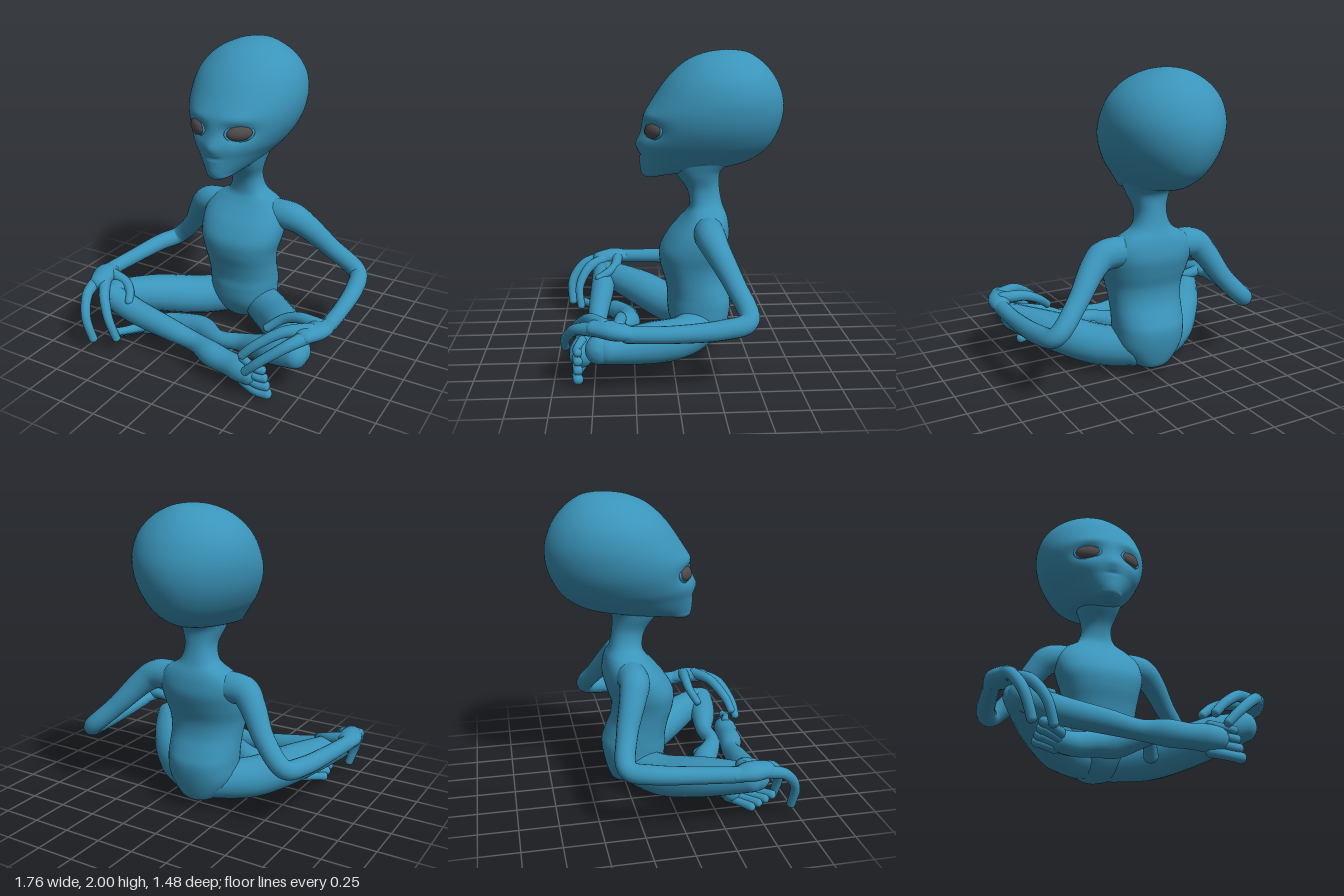
import * as THREE from 'three';

const skin = new THREE.MeshStandardMaterial({ color: 0x3a94ba });
skin.name = 'blue skin';
const dark = new THREE.MeshStandardMaterial({ color: 0x514b4d });
dark.name = 'dark eye';

// Smooth interpolation through rows of numbers, t from 0 to 1
function spline(rows, t) {
  const n = rows.length - 1, s = Math.min(t * n, n - 1e-6), i = Math.floor(s), f = s - i;
  const [a, b, c, d] = [Math.max(i - 1, 0), i, i + 1, Math.min(i + 2, n)].map((k) => rows[k]);
  return b.map((p1, k) => {
    const v0 = (c[k] - a[k]) / 2, v1 = (d[k] - p1) / 2, dp = c[k] - p1;
    return p1 + f * (v0 + f * (3 * dp - 2 * v0 - v1 + f * (v0 + v1 - 2 * dp)));
  });
}

// Closed skin over a stack of rings
function skinOver(rings) {
  const m = rings[0].length, n = rings.length, pos = [], idx = [];
  rings.forEach((r) => r.forEach((p) => pos.push(p.x, p.y, p.z)));
  [rings[0], rings[n - 1]].forEach((r) => {
    const c = r.reduce((s, p) => s.add(p), new THREE.Vector3()).divideScalar(m);
    pos.push(c.x, c.y, c.z);
  });
  for (let j = 0; j < m; j++) {
    const k = (j + 1) % m;
    for (let i = 0; i < n - 1; i++) {
      const a = i * m + j, b = i * m + k;
      idx.push(a, b, b + m, a, b + m, a + m);
    }
    idx.push(n * m, k, j, n * m + 1, (n - 1) * m + j, (n - 1) * m + k);
  }
  const g = new THREE.BufferGeometry();
  g.setAttribute('position', new THREE.Float32BufferAttribute(pos, 3));
  g.setIndex(idx);
  g.computeVertexNormals();
  return g;
}

function mesh(name, geometry, material = skin) {
  const o = new THREE.Mesh(geometry, material);
  o.name = name;
  return o;
}

// Round-ended limb through points [x, y, z, radius]; squash scales the section
function limb(name, pts, squash = [1, 1, 1], sides = 18) {
  const N = (pts.length - 1) * 7, rings = [], sq = new THREE.Vector3(...squash);
  const at = (t) => new THREE.Vector3(...spline(pts, t));
  let normal = new THREE.Vector3(0.13, 1, 0.21);
  const ring = (c, t, r) => {
    const b = t.clone().cross(normal);
    rings.push(Array.from({ length: sides }, (_, j) => {
      const a = (j / sides) * Math.PI * 2;
      return normal.clone().multiplyScalar(Math.cos(a) * r)
        .addScaledVector(b, Math.sin(a) * r).multiply(sq).add(c);
    }));
  };
  for (let i = 0; i <= N; i++) {
    const u = i / N, c = at(u), r = spline(pts, u)[3];
    const t = at(Math.min(u + 0.01, 1)).sub(at(Math.max(u - 0.01, 0))).normalize();
    normal = normal.clone().addScaledVector(t, -normal.dot(t)).normalize();
    const cap = (k, s) => {
      const q = (k / 5) * Math.PI / 2;
      ring(c.clone().addScaledVector(t, s * r * Math.sin(q) * 0.8), t, r * Math.cos(q));
    };
    if (i === 0) for (let k = 4.8; k > 0.5; k--) cap(k, -1);
    ring(c, t, r);
    if (i === N) for (let k = 0.8; k < 5; k++) cap(k, 1);
  }
  return mesh(name, skinOver(rings));
}

// Upright form from rows [y, half width, front z, back z]; power below 1 squares the section
function loft(rows, cx, power, steps, sides, deform = () => {}) {
  const rings = [], bend = (v) => Math.sign(v) * Math.abs(v) ** power;
  for (let i = 0; i <= steps; i++) {
    const [y, w, f, b] = spline(rows, i / steps);
    rings.push(Array.from({ length: sides }, (_, j) => {
      const a = (j / sides) * Math.PI * 2, c = Math.cos(a);
      const p = new THREE.Vector3(w * bend(Math.sin(a)), y, (f + b) / 2 + bend(c) * (f - b) / 2);
      deform(p, c);
      p.x += cx;
      return p;
    }));
  }
  return skinOver(rings);
}

function createHead() {
  const head = new THREE.Group();
  head.name = 'head';
  const bump = (dx, dy, sx, sy) => Math.exp(-((dx / sx) ** 2) - (dy / sy) ** 2);
  const rows = [
    [1.18, 0.04, 0.165, 0.09], [1.2, 0.085, 0.185, -0.02], [1.23, 0.13, 0.195, -0.28],
    [1.27, 0.18, 0.198, -0.48], [1.33, 0.235, 0.2, -0.595], [1.4, 0.292, 0.205, -0.665],
    [1.5, 0.346, 0.19, -0.715], [1.6, 0.372, 0.165, -0.738], [1.7, 0.374, 0.105, -0.732],
    [1.8, 0.347, 0.035, -0.695], [1.88, 0.29, -0.04, -0.64], [1.94, 0.213, -0.12, -0.575],
    [1.98, 0.125, -0.22, -0.51], [1.995, 0.06, -0.3, -0.45], [2.0, 0.012, -0.36, -0.39],
  ];
  // Eye sockets, brows, nose and mouth are pressed into the front
  head.add(mesh('skull', loft(rows, -0.04, 1, 96, 84, (p, c) => {
    if (c < 0.2) return;
    const ax = Math.abs(p.x);
    p.z -= 0.04 * bump(ax - 0.15, p.y - 1.497, 0.085, 0.052);
    p.z += 0.012 * bump(ax - 0.14, p.y - 1.585, 0.1, 0.035);
    p.z += 0.02 * bump(p.x, p.y - 1.4, 0.045, 0.045);
    p.z -= 0.008 * bump(p.x, p.y - 1.33, 0.05, 0.01);
  })));
  for (const s of [-1, 1]) {
    const eye = new THREE.Group();
    eye.name = s > 0 ? 'leftEye' : 'rightEye';
    const ball = mesh('eyeball', new THREE.SphereGeometry(1, 28, 18), dark);
    ball.scale.set(0.084, 0.05, 0.036);
    const lid = mesh('eyelid', new THREE.TorusGeometry(1, 0.12, 10, 36));
    lid.scale.set(0.088, 0.053, 0.09);
    eye.add(ball, lid);
    eye.position.set(-0.04 + s * 0.15, 1.498, 0.113);
    eye.rotation.set(-0.1, s * 0.57, s * 0.12, 'YXZ');
    head.add(eye);
  }
  return head;
}

export function createModel() {
  const model = new THREE.Group();
  model.name = 'seatedFigure';
  model.add(createHead());

  // Pelvis, chest and neck in one form
  model.add(mesh('torso', loft([
    [0.05, 0.04, -0.18, -0.3], [0.08, 0.13, -0.08, -0.35], [0.2, 0.22, 0.0, -0.39],
    [0.32, 0.234, 0.02, -0.405], [0.4, 0.237, 0.02, -0.38], [0.5, 0.242, 0.04, -0.34],
    [0.6, 0.258, 0.068, -0.335], [0.7, 0.285, 0.07, -0.365], [0.8, 0.295, 0.015, -0.39],
    [0.88, 0.28, -0.055, -0.385], [0.94, 0.225, -0.105, -0.37], [1.0, 0.13, -0.13, -0.345],
    [1.1, 0.1, -0.11, -0.325], [1.2, 0.13, -0.04, -0.325], [1.26, 0.15, 0.0, -0.37], [1.32, 0.17, 0.02, -0.44],
  ], -0.01, 0.87, 75, 44)));

  // Arms, bent at the elbow
  model.add(limb('leftArm', [[0.12, 0.85, -0.24, 0.1], [0.31, 0.85, -0.235, 0.098], [0.42, 0.785, -0.27, 0.084],
    [0.57, 0.62, -0.36, 0.066], [0.735, 0.46, -0.425, 0.062], [0.79, 0.42, -0.25, 0.06],
    [0.815, 0.41, 0.05, 0.052], [0.825, 0.42, 0.3, 0.05]]));
  model.add(limb('rightArm', [[-0.14, 0.85, -0.24, 0.1], [-0.32, 0.845, -0.235, 0.097], [-0.41, 0.76, -0.265, 0.083],
    [-0.52, 0.59, -0.32, 0.067], [-0.665, 0.44, -0.345, 0.062], [-0.74, 0.42, -0.2, 0.06],
    [-0.785, 0.41, 0.08, 0.053], [-0.815, 0.405, 0.32, 0.05]]));

  // Hands with long fingers
  const hands = {
    left: [
      [[0.825, 0.42, 0.26, 0.05], [0.81, 0.44, 0.37, 0.074], [0.765, 0.445, 0.49, 0.06]],
      [[0.8, 0.46, 0.35, 0.042], [0.66, 0.46, 0.335, 0.036], [0.55, 0.42, 0.34, 0.031], [0.46, 0.35, 0.38, 0.027]],
      [[0.78, 0.46, 0.43, 0.045], [0.64, 0.45, 0.52, 0.036], [0.5, 0.36, 0.6, 0.031], [0.42, 0.28, 0.63, 0.028]],
      [[0.78, 0.44, 0.48, 0.045], [0.7, 0.41, 0.6, 0.036], [0.56, 0.3, 0.67, 0.031], [0.47, 0.21, 0.68, 0.028]],
    ],
    right: [
      [[-0.815, 0.405, 0.28, 0.05], [-0.8, 0.41, 0.38, 0.078], [-0.77, 0.4, 0.49, 0.068]],
      [[-0.77, 0.41, 0.36, 0.042], [-0.65, 0.385, 0.37, 0.036], [-0.57, 0.355, 0.42, 0.031], [-0.52, 0.32, 0.5, 0.028]],
      [[-0.75, 0.4, 0.45, 0.042], [-0.67, 0.36, 0.57, 0.036], [-0.59, 0.24, 0.64, 0.031], [-0.54, 0.1, 0.63, 0.028]],
      [[-0.8, 0.4, 0.47, 0.042], [-0.78, 0.36, 0.61, 0.036], [-0.73, 0.24, 0.7, 0.032], [-0.68, 0.09, 0.7, 0.029]],
    ],
  };
  for (const [side, [palm, ...fingers]] of Object.entries(hands)) {
    model.add(limb(side + 'Palm', palm, [1, 0.75, 1]));
    fingers.forEach((f, i) => model.add(limb(side + (i ? 'Finger' + i : 'Thumb'), f, [1, 1, 1], 12)));
  }

  // Thighs spread out to the knees
  for (const [side, s, lift] of [['left', 1, 0], ['right', -1, 0.03]]) {
    model.add(limb(side + 'Thigh', [[s * 0.1, 0.18, -0.2, 0.13], [s * 0.3, 0.18, -0.04, 0.135],
      [s * 0.5, 0.23 + lift / 2, 0.18, 0.128], [s * 0.69, 0.28 + lift, 0.43, 0.092]]));
  }

  // Crossed shins, running on into feet that rest on their sides
  model.add(limb('leftShinAndFoot', [[0.7, 0.28, 0.46, 0.09], [0.5, 0.24, 0.43, 0.09], [0.3, 0.2, 0.39, 0.06],
    [0.12, 0.18, 0.4, 0.055], [-0.06, 0.14, 0.3, 0.085], [-0.18, 0.13, 0.285, 0.078],
    [-0.32, 0.11, 0.3, 0.073], [-0.47, 0.1, 0.38, 0.066]]));
  model.add(limb('leftAnkleBone', [[0.11, 0.16, 0.38, 0.04], [0.15, 0.08, 0.31, 0.045]]));
  model.add(limb('rightShinAndFoot', [[-0.69, 0.31, 0.46, 0.085], [-0.5, 0.245, 0.47, 0.085],
    [-0.2, 0.2, 0.49, 0.073], [0, 0.17, 0.5, 0.062], [0.15, 0.155, 0.545, 0.08],
    [0.28, 0.145, 0.565, 0.075], [0.38, 0.14, 0.58, 0.082], [0.45, 0.135, 0.585, 0.076]]));

  // Toes
  for (let i = 0; i < 4; i++) {
    const y = 0.042 + i * 0.053, r = 0.034 - i * 0.002;
    model.add(limb('rightToe' + (i + 1), [[0.4, y + 0.02, 0.58, r], [0.5, y, 0.61, r * 0.9],
      [0.585 - i * 0.012, y - 0.004, 0.6, r]], [1, 1, 1], 12));
    model.add(limb('leftToe' + (i + 1), [[-0.45, 0.06 + i * 0.02, 0.35 + i * 0.03, 0.035],
      [-0.53, 0.05 + i * 0.022, 0.42 + i * 0.04, 0.028], [-0.59, 0.045 + i * 0.024, 0.47 + i * 0.045, 0.03]], [1, 1, 1], 12));
  }
  return model;
}
